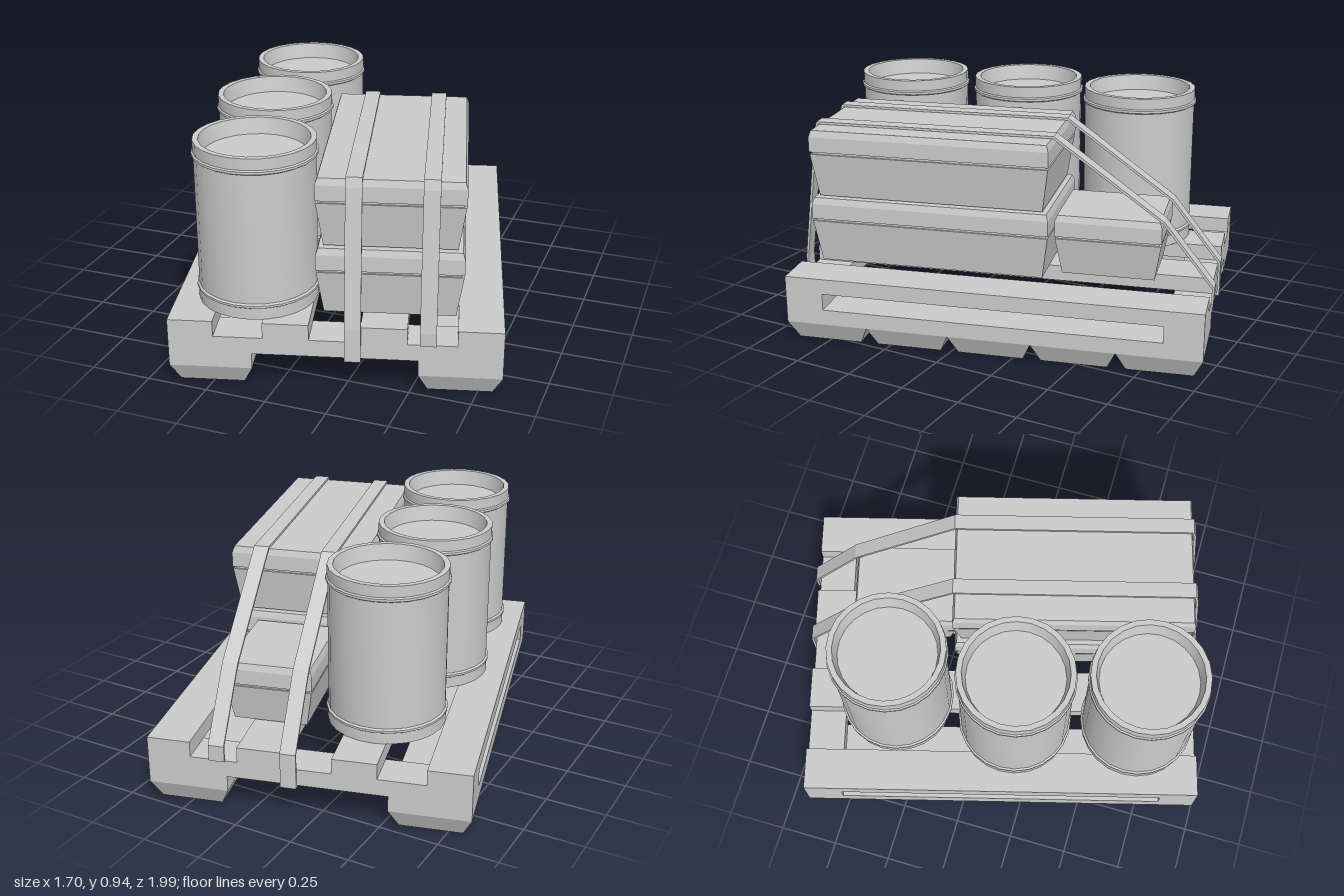
import * as THREE from 'three';
import { toCreasedNormals } from 'three/addons/utils/BufferGeometryUtils.js';

const material = new THREE.MeshStandardMaterial({ color: 0xcccccc });

function add(parent, name, geometry, x = 0, y = 0, z = 0) {
  const mesh = new THREE.Mesh(geometry, material);
  mesh.name = name;
  mesh.position.set(x, y, z);
  parent.add(mesh);
  return mesh;
}

// Box given by its limits on each axis
function block(parent, name, x0, x1, y0, y1, z0, z1) {
  return add(parent, name, new THREE.BoxGeometry(x1 - x0, y1 - y0, z1 - z0),
    (x0 + x1) / 2, (y0 + y1) / 2, (z0 + z1) / 2);
}

// Rectangular loft through rings of [y, inset], closed at both ends
function loft(width, depth, rings) {
  const pos = [];
  const loops = rings.map(([y, inset]) => {
    const a = width / 2 - inset, b = depth / 2 - inset;
    return [[a, y, b], [a, y, -b], [-a, y, -b], [-a, y, b]];
  });
  const quad = (a, b, c, d) => pos.push(...a, ...b, ...c, ...a, ...c, ...d);
  for (let r = 0; r < loops.length - 1; r++) {
    for (let i = 0; i < 4; i++) {
      const j = (i + 1) % 4;
      quad(loops[r][i], loops[r][j], loops[r + 1][j], loops[r + 1][i]);
    }
  }
  quad(...loops[0].slice().reverse());
  quad(...loops[loops.length - 1]);
  const g = new THREE.BufferGeometry();
  g.setAttribute('position', new THREE.Float32BufferAttribute(pos, 3));
  g.computeVertexNormals();
  return g;
}

// Flat band following [z, y] points, thickened to the left of its path
function strapGeometry(path, width, thickness) {
  const pts = path.map(p => new THREE.Vector2(...p));
  const normal = (a, b) => {
    const d = b.clone().sub(a).normalize();
    return new THREE.Vector2(-d.y, d.x);
  };
  const outer = pts.map((p, i) => {
    const n1 = normal(pts[Math.max(i - 1, 0)], pts[Math.max(i, 1)]);
    const last = pts.length - 1;
    const n2 = normal(pts[Math.min(i, last - 1)], pts[Math.min(i + 1, last)]);
    const n = n1.clone().add(n2).normalize();
    return p.clone().addScaledVector(n, thickness / Math.max(n.dot(n1), 0.5));
  });
  const shape = new THREE.Shape([...pts, ...outer.reverse()]);
  const g = new THREE.ExtrudeGeometry(shape, { depth: width, bevelEnabled: false });
  g.translate(0, 0, -width / 2);
  g.rotateY(-Math.PI / 2);
  return g;
}

function buildPallet() {
  const pallet = new THREE.Group();
  pallet.name = 'pallet';
  const hx = 0.65, hz = 0.858, inner = 0.323;
  for (const s of [-1, 1]) {
    // deck boards, end bar and runner on each side
    for (const [a, b] of [[0.473, hx], [0.1, 0.28]]) {
      block(pallet, 'deckBoard', Math.min(s * a, s * b), Math.max(s * a, s * b), 0.215, 0.28, -hz, hz);
    }
    const z = s * (hz + 0.7) / 2;
    block(pallet, 'endBar', -hx, hx, 0.145, 0.215, z - 0.079, z + 0.079);
    const x = s * (hx + inner) / 2, w = hx - inner;
    block(pallet, 'runner', x - w / 2, x + w / 2, 0.08, 0.145, -hz, hz);

    // five hollow tapered feet under the runner
    const len = 2 * hz / 5;
    for (let i = 0; i < 5; i++) {
      const foot = loft(w, len, [[0.06, 0.075], [0, 0.06], [0, 0.037], [0.08, 0]]);
      add(pallet, 'foot', foot, x, 0, -hz + len * (i + 0.5));
    }
  }
  return pallet;
}

// Tapered crate with a grooved, chamfered lid
function buildCrate(name, x0, x1, z0, z1, y, height) {
  const lid = height - 0.09;
  const geometry = loft(x1 - x0, z1 - z0, [
    [0, 0.028], [lid - 0.01, 0.002], [lid - 0.01, 0.01], [lid, 0.01],
    [lid, 0], [height - 0.027, 0], [height, 0.009],
  ]);
  const crate = new THREE.Mesh(geometry, material);
  crate.name = name;
  crate.position.set((x0 + x1) / 2, y, (z0 + z1) / 2);
  return crate;
}

// Drum profile: body, two rolled hoops, recessed lid
function drumGeometry() {
  const profile = [
    [0, 0], [0.24, 0], [0.24, 0.047], [0.246, 0.051], [0.246, 0.06], [0.238, 0.066],
    [0.238, 0.599], [0.246, 0.604], [0.246, 0.614], [0.24, 0.619], [0.24, 0.665],
    [0.217, 0.665], [0.203, 0.6], [0, 0.6],
  ].map(p => new THREE.Vector2(...p));
  return toCreasedNormals(new THREE.LatheGeometry(profile, 24), 0.55);
}

export function createModel() {
  const model = new THREE.Group();
  model.name = 'loadedPallet';
  const load = new THREE.Group();
  load.name = 'turnedLoad';
  load.rotation.y = THREE.MathUtils.degToRad(15);
  model.add(load);

  load.add(buildPallet());

  // drums along the right side
  const drum = drumGeometry();
  for (const [x, z] of [[-0.234, -0.461], [-0.326, 0.057], [-0.329, 0.59]]) {
    add(load, 'drum', drum, x, 0.28, z);
  }

  // two stacked large crates and a small one behind
  load.add(buildCrate('lowerCrate', -0.078, 0.491, -0.208, 0.79, 0.295, 0.278));
  load.add(buildCrate('upperCrate', -0.078, 0.491, -0.208, 0.79, 0.578, 0.282));
  load.add(buildCrate('smallCrate', 0.03, 0.39, -0.652, -0.214, 0.285, 0.255));

  // lashing straps, from the rear end bar over the crates to the front
  const over = [[-0.86, 0.28], [-0.654, 0.54], [-0.206, 0.862], [0.784, 0.862], [0.794, 0.83], [0.86, 0.27]];
  const wrapped = [[-0.8, 0.144], [-0.86, 0.144], ...over, [0.86, 0.144], [0.8, 0.144]];
  const hooked = [[-0.858, 0.215], ...over, [0.858, 0.215]];
  add(load, 'strap', strapGeometry(wrapped, 0.064, 0.01), 0.07);
  add(load, 'strap', strapGeometry(hooked, 0.064, 0.01), 0.36);

  return model;
}
